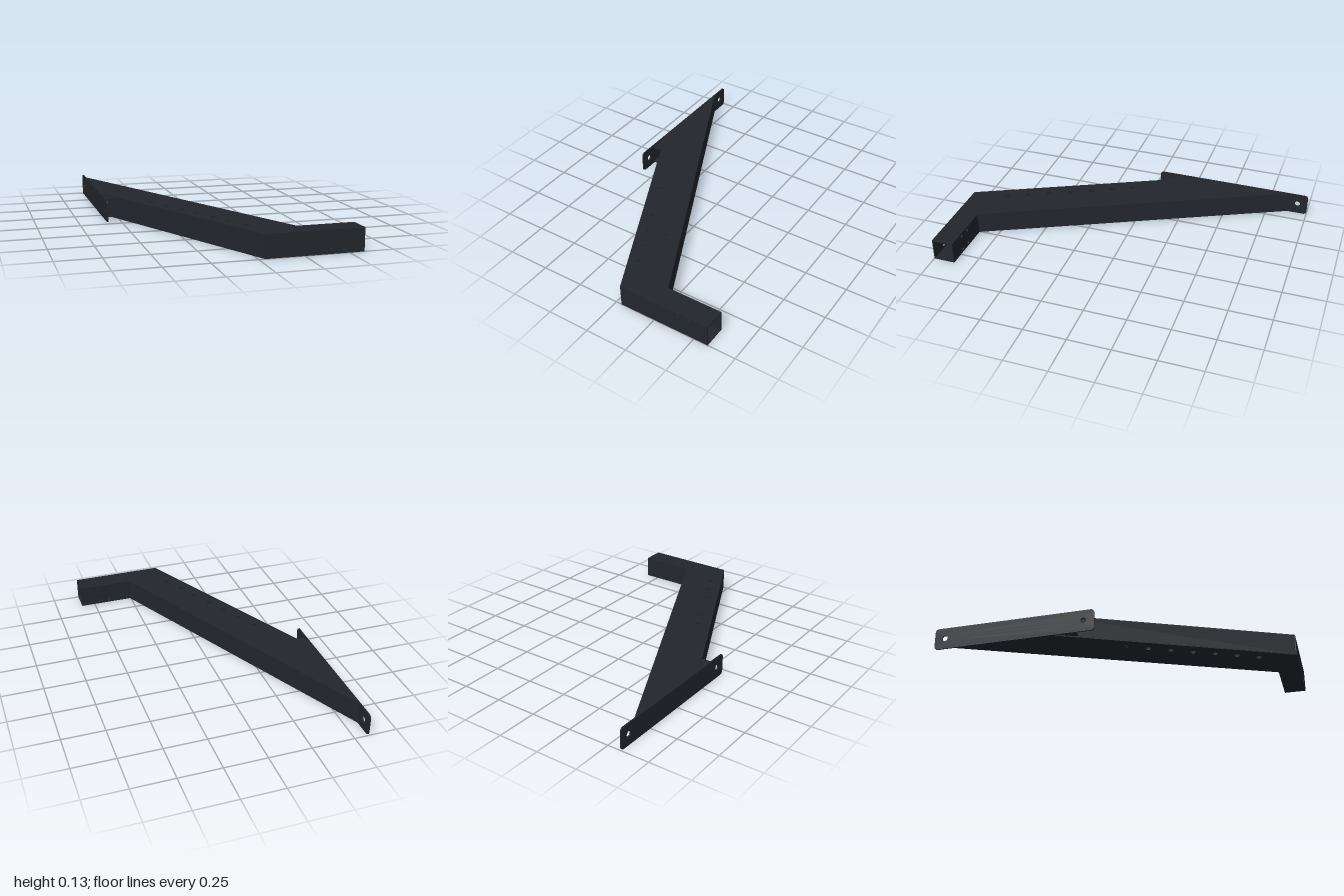
import * as THREE from 'three';

const H = 0.13;   // bracket height
const T = 0.006;  // sheet thickness
const material = new THREE.MeshStandardMaterial({ color: 0x22262d, side: THREE.DoubleSide });

// Flat sheet with round holes [x, y, r], extruded along +z
function sheet(shape, holes, depth) {
  for (const [x, y, r] of holes) {
    const hole = new THREE.Path();
    hole.absarc(x, y, r, 0, Math.PI * 2, true);
    shape.holes.push(hole);
  }
  return new THREE.ExtrudeGeometry(shape, { depth, bevelEnabled: false, curveSegments: 10 });
}

const polygon = (points) => new THREE.Shape(points.map(([x, y]) => new THREE.Vector2(x, y)));

// Plan outline of [x, z] points, raised from y0 by height
function planSheet(points, holes, y0, height) {
  const geometry = sheet(polygon(points.map(([x, z]) => [x, -z])),
    holes.map(([x, z, r]) => [x, -z, r]), height);
  return geometry.rotateX(-Math.PI / 2).translate(0, y0, 0);
}

// Upright wall along a plan line; thickness is offset in x
const slantedWall = ([x0, z0], [x1, z1], dx) =>
  planSheet([[x0, z0], [x1, z1], [x1 + dx, z1], [x0 + dx, z0]], [], T, H - 2 * T);

function roundedRect(x0, y0, x1, y1, r) {
  const s = new THREE.Shape();
  s.absarc(x1 - r, y0 + r, r, -Math.PI / 2, 0);
  s.absarc(x1 - r, y1 - r, r, 0, Math.PI / 2);
  s.absarc(x0 + r, y1 - r, r, Math.PI / 2, Math.PI);
  s.absarc(x0 + r, y0 + r, r, Math.PI, Math.PI * 1.5);
  s.closePath();
  return s;
}

export function createModel() {
  const group = new THREE.Group();
  const add = (name, geometry) => {
    const mesh = new THREE.Mesh(geometry, material);
    mesh.name = name;
    group.add(mesh);
  };

  // Perforated skins of the slanted arm
  const armHoles = [];
  for (let i = 0; i < 10; i++) {
    for (const z of [-0.55, -0.286]) armHoles.push([-0.5 + i * 0.0568, z + i * 0.1188, 0.017]);
  }
  const outline = [[-0.578, -0.88], [0.255, 0.87], [0.585, 0.87], [0.585, 1], [0.035, 1], [-0.578, -0.28]];
  add('armBottom', planSheet(outline, armHoles, 0, T));
  add('armTop', planSheet(outline, armHoles, H - T, T));

  // Long side walls of the arm
  add('armLeftWall', slantedWall([-0.578, -0.88], [0.255, 0.87], -T));
  add('armRightWall', slantedWall([-0.578, -0.28], [0.031, 0.992], T));

  // Foot: open-ended tube with four bolt holes through front and back
  const boltHoles = [];
  for (const x of [0.4, 0.47]) for (const y of [0.022, 0.11]) boltHoles.push([x, y, 0.011]);
  for (const [name, z] of [['footFront', 1 - T], ['footBack', 0.87]]) {
    const wall = polygon([[0.035, T], [0.585, T], [0.585, H - T], [0.035, H - T]]);
    add(name, sheet(wall, boltHoles, T).translate(0, 0, z));
  }

  // Mounting plate with rounded, drilled tabs at both ends
  const plate = sheet(roundedRect(-1, 0, -0.04, H, 0.02),
    [[-0.938, 0.066, 0.017], [-0.102, 0.066, 0.017]], 0.008);
  add('mountingPlate', plate.rotateY(-Math.PI / 2).translate(-0.577, 0, 0));

  // Plate flanges tucked inside the arm
  const flange = [[-0.58, -0.86], [-0.522, -0.74], [-0.522, -0.15], [-0.58, -0.15]];
  add('lowerFlange', planSheet(flange, [], T + 0.001, T));
  add('upperFlange', planSheet(flange, [], H - 2 * T - 0.001, T));

  return group;
}
